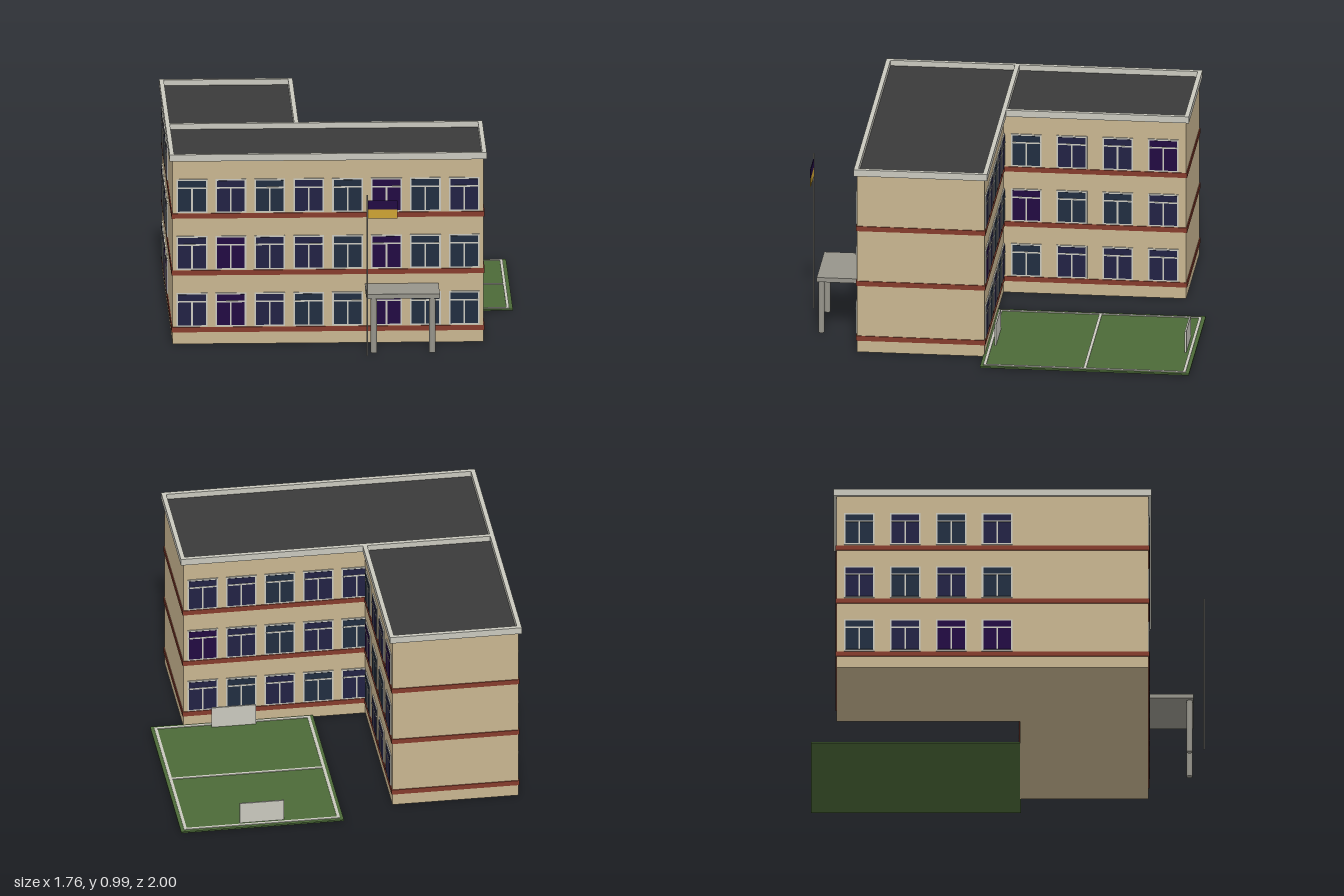
import * as THREE from 'three';

const mat = (name, color) => {
  const m = new THREE.MeshStandardMaterial({ color });
  m.name = name;
  return m;
};
const wall = mat('sand plaster', 0xc8b590);
const trim = mat('pale trim', 0xc9c8be);
const roofing = mat('dark roofing', 0x3a3a3a);
const brick = mat('brick red', 0x863c2c);
const concrete = mat('grey concrete', 0x96948b);
const grass = mat('field green', 0x4c6a38);
const yellow = mat('flag yellow', 0xcda233);
const glass = {
  A: mat('teal glass', 0x212e40),
  B: mat('navy glass', 0x222244),
  P: mat('purple glass', 0x220a42),
};

// Box given by its min and max corners
function box(parent, name, material, [x0, y0, z0], [x1, y1, z1]) {
  const m = new THREE.Mesh(new THREE.BoxGeometry(x1 - x0, y1 - y0, z1 - z0), material);
  m.position.set((x0 + x1) / 2, (y0 + y1) / 2, (z0 + z1) / 2);
  m.name = name;
  parent.add(m);
  return m;
}

const FLOOR = 0.297;
const TOP = 0.957;

// One storey block: body, brick bands, roof and parapet
function block(name, x0, x1, z0, z1, openFront) {
  const g = new THREE.Group();
  g.name = name;
  box(g, 'walls', wall, [x0, 0, z0], [x1, TOP, z1]);
  for (let f = 0; f < 3; f++) {
    const y = 0.062 + f * FLOOR;
    box(g, 'brickBand', brick, [x0 - 0.005, y, z0 - 0.005], [x1 + 0.005, y + 0.026, z1 + 0.005]);
  }
  box(g, 'roof', roofing, [x0, TOP, z0], [x1, TOP + 0.006, z1]);
  const o = 0.015, i = 0.008, h = 0.992;
  const zEnd = openFront ? z1 - 0.015 : z1 + o;
  box(g, 'parapetBack', trim, [x0 - o, TOP, z0 - o], [x1 + o, h, z0 + i]);
  if (!openFront) box(g, 'parapetFront', trim, [x0 - o, TOP, z1 - i], [x1 + o, h, z1 + o]);
  const zs = z0 + i, ze = openFront ? zEnd : z1 - i;
  box(g, 'parapetLeft', trim, [x1 - i, TOP, zs], [x1 + o, h, ze]);
  box(g, 'parapetRight', trim, [x0 - o, TOP, zs], [x0 + i, h, ze]);
  return g;
}

// Window facing +z, origin at its centre on the wall
const frameGeo = new THREE.BoxGeometry(0.156, 0.176, 0.012);
const paneGeo = new THREE.BoxGeometry(0.14, 0.16, 0.004);
const transomGeo = new THREE.BoxGeometry(0.14, 0.008, 0.004);
const mullionGeo = new THREE.BoxGeometry(0.008, 0.123, 0.004);
function makeWindow(kind) {
  const g = new THREE.Group();
  g.name = 'window';
  const add = (geo, m, name, y, z) => {
    const mesh = new THREE.Mesh(geo, m);
    mesh.position.set(0, y, z);
    mesh.name = name;
    g.add(mesh);
  };
  add(frameGeo, trim, 'frame', 0, 0);
  add(paneGeo, glass[kind], 'pane', 0, 0.0055);
  add(transomGeo, trim, 'transom', 0.043, 0.0075);
  add(mullionGeo, trim, 'mullion', -0.0185, 0.0075);
  return g;
}

// Rows run from the top floor down; place(i) gives the x and z of each window
function windowRows(parent, name, rows, angle, place) {
  const g = new THREE.Group();
  g.name = name;
  rows.forEach((row, r) => [...row].forEach((kind, i) => {
    const w = makeWindow(kind);
    const [x, z] = place(i);
    w.position.set(x, 0.179 + (2 - r) * FLOOR, z);
    w.rotation.y = angle;
    g.add(w);
  }));
  parent.add(g);
}

export function createModel() {
  const model = new THREE.Group();
  model.name = 'school';
  const X0 = -0.87, X1 = 0.71, ZF = 0.711, ZM = 0.06, ZB = -0.872, XW = -0.223;

  model.add(block('mainBlock', X0, X1, ZM, ZF, false));
  model.add(block('rearWing', X0, XW, ZB, ZM, true));

  // Windows
  const bay = (X1 - X0) / 8, step = (ZM - ZB) / 4;
  windowRows(model, 'frontWindows', ['ABABAPAB', 'BPBBAPAA', 'BPBAAPAA'], 0,
    i => [X0 + (i + 0.5) * bay, ZF]);
  windowRows(model, 'backWindows', ['BBABB', 'PBABA', 'BABAB'], Math.PI,
    i => [X1 - (i + 0.5) * bay, ZM]);
  windowRows(model, 'wingLeftWindows', ['ABBP', 'PAAB', 'ABBB'], Math.PI / 2,
    i => [XW, ZM - (i + 0.5) * step]);
  windowRows(model, 'wingRightWindows', ['ABAB', 'BABA', 'ABPP'], -Math.PI / 2,
    i => [X0, ZB + (i + 0.5) * step]);

  // Entrance canopy on two posts
  const canopy = new THREE.Group();
  canopy.name = 'entranceCanopy';
  box(canopy, 'canopySlab', concrete, [0.107, 0.284, ZF], [0.48, 0.308, 0.94]);
  for (const x of [0.145, 0.442]) {
    const post = new THREE.Mesh(new THREE.CylinderGeometry(0.016, 0.016, 0.285, 12), concrete);
    post.position.set(x, 0.1425, 0.92);
    post.name = 'canopyPost';
    canopy.add(post);
  }
  model.add(canopy);

  // Flagpole with two-stripe flag
  const flag = new THREE.Group();
  flag.name = 'flagpole';
  const pole = new THREE.Mesh(new THREE.CylinderGeometry(0.004, 0.004, 0.84, 8), concrete);
  pole.position.set(0.109, 0.42, 0.994);
  pole.name = 'pole';
  flag.add(pole);
  box(flag, 'flagUpperStripe', glass.P, [0.111, 0.765, 0.992], [0.263, 0.811, 0.996]);
  box(flag, 'flagLowerStripe', yellow, [0.111, 0.718, 0.992], [0.263, 0.765, 0.996]);
  model.add(flag);

  // Sports field with markings and goals
  const field = new THREE.Group();
  field.name = 'sportsField';
  box(field, 'turf', grass, [0.045, 0.002, -1], [0.88, 0.01, 0.066]);
  const line = (x0, z0, x1, z1) => box(field, 'fieldLine', trim, [x0, 0.01, z0], [x1, 0.013, z1]);
  for (const z of [-0.982, -0.474, 0.036]) line(0.062, z, 0.862, z + 0.015);
  for (const x of [0.062, 0.847]) line(x, -0.967, x + 0.015, 0.036);
  for (const z of [-0.951, 0.019]) box(field, 'goal', trim, [0.345, 0.01, z - 0.004], [0.572, 0.123, z + 0.004]);
  model.add(field);

  return model;
}
